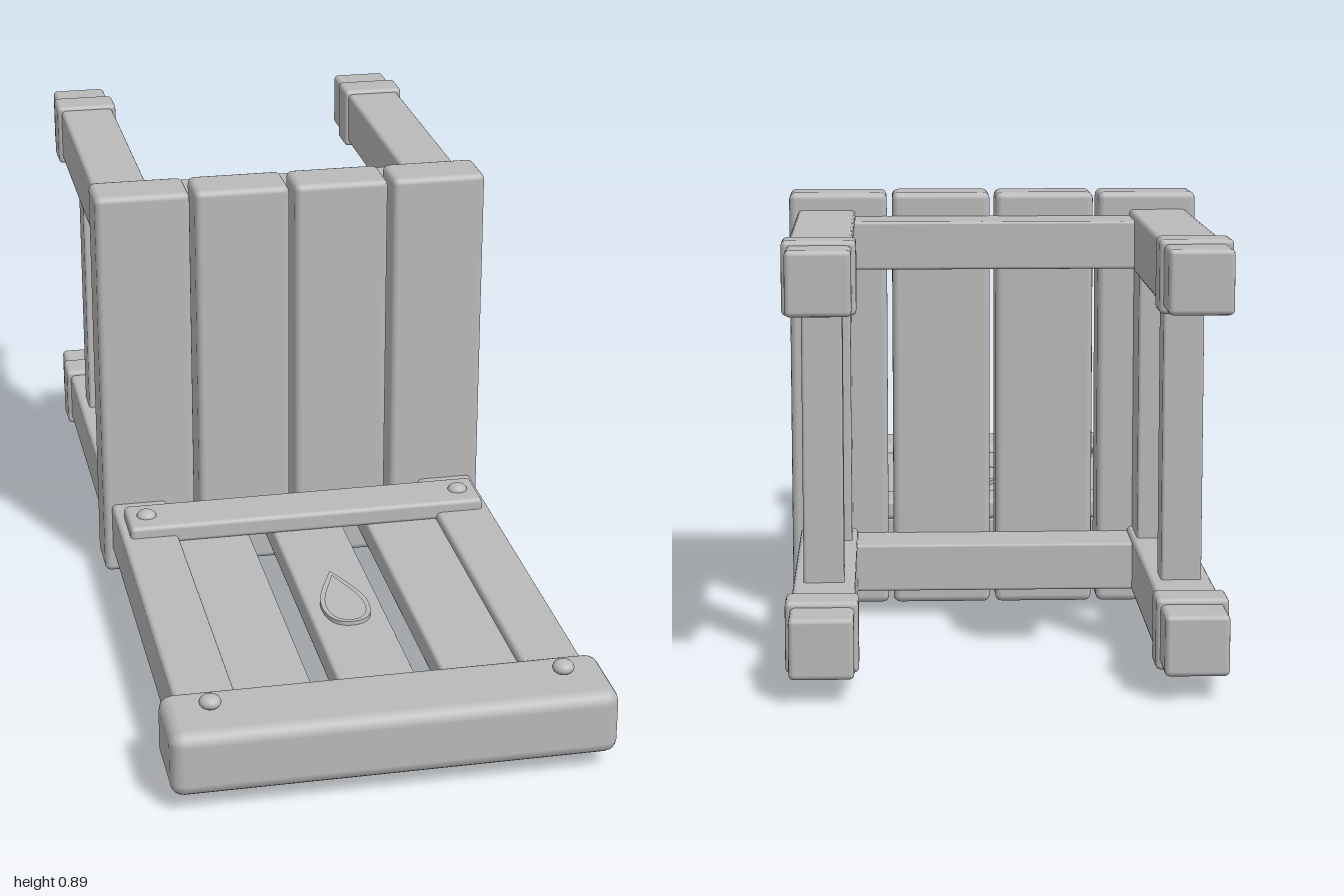
import * as THREE from 'three';
import { RoundedBoxGeometry } from 'three/addons/geometries/RoundedBoxGeometry.js';

export function createModel() {
  const chair = new THREE.Group();
  chair.name = 'chairLyingOnItsBack';
  const grey = new THREE.MeshStandardMaterial({ color: 0xbababa });
  grey.name = 'plain grey';

  const add = (name, geometry) => {
    const mesh = new THREE.Mesh(geometry, grey);
    mesh.name = name;
    chair.add(mesh);
    return mesh;
  };
  // Softly bevelled board given by its extents along x, y and z
  const board = (name, [x0, x1], [y0, y1], [z0, z1], bevel = 0.01) =>
    add(name, new RoundedBoxGeometry(x1 - x0, y1 - y0, z1 - z0, 2, bevel))
      .position.set((x0 + x1) / 2, (y0 + y1) / 2, (z0 + z1) / 2);
  // Same, placed on one side of the chair
  const sideBoard = (name, s, x, y, z, bevel) =>
    board(name, s > 0 ? x : [-x[1], -x[0]], y, z, bevel);

  // Seat planks, standing upright
  for (const x of [[-0.432, -0.225], [-0.214, -0.006], [0.006, 0.214], [0.225, 0.432]])
    board('seatPlank', x, [0.004, 0.895], [-0.175, -0.057], 0.014);

  for (const s of [-1, 1]) {
    // Back posts run on into the rear legs; front legs stop at the seat
    sideBoard('backPost', s, [0.291, 0.414], [0.052, 0.17], [-1, 0.9]);
    sideBoard('frontLeg', s, [0.291, 0.414], [0.735, 0.858], [-1, -0.165]);
    // Feet bands
    sideBoard('rearFootBand', s, [0.283, 0.423], [0.041, 0.181], [-0.907, -0.823]);
    sideBoard('frontFootBand', s, [0.283, 0.423], [0.726, 0.867], [-0.907, -0.823]);
    // Side apron and stretcher
    sideBoard('sideApron', s, [0.302, 0.402], [0.16, 0.745], [-0.3, -0.165], 0.006);
    sideBoard('sideStretcher', s, [0.313, 0.393], [0.16, 0.745], [-0.696, -0.616], 0.006);
  }

  // Front and rear aprons under the seat
  board('frontApron', [-0.3, 0.3], [0.745, 0.845], [-0.303, -0.165], 0.006);
  board('rearApron', [-0.3, 0.3], [0.06, 0.16], [-0.303, -0.165], 0.006);

  // Backrest: crest rail, lower rail and slats
  board('crestRail', [-0.445, 0.445], [0.04, 0.177], [0.816, 1], 0.027);
  board('lowerBackRail', [-0.396, 0.396], [0.152, 0.195], [0.003, 0.124], 0.01);
  for (const x of [[-0.293, -0.132], [-0.079, 0.079], [0.132, 0.293]])
    board('backSlat', x, [0.1, 0.155], [0.01, 0.86], 0.008);

  // Domed pegs
  for (const x of [-0.353, 0.353])
    for (const [y, z] of [[0.194, 0.063], [0.194, 0.903]]) {
      const peg = add('peg', new THREE.SphereGeometry(0.022, 20, 12));
      peg.scale.y = 0.68;
      peg.position.set(x, y, z);
    }

  // Raised drop outline on the middle slat
  const drop = (C, w, tip, end) => {
    const c = new C();
    const mid = end - w * 1.6;
    c.moveTo(0, -tip);
    c.bezierCurveTo(w * 0.3, -tip - 0.04, w, -mid + 0.05, w, -mid);
    c.bezierCurveTo(w, -end + 0.02, w * 0.6, -end, 0, -end);
    c.bezierCurveTo(-w * 0.6, -end, -w, -end + 0.02, -w, -mid);
    c.bezierCurveTo(-w, -mid + 0.05, -w * 0.3, -tip - 0.04, 0, -tip);
    return c;
  };
  const outline = drop(THREE.Shape, 0.05, 0.345, 0.58);
  outline.holes.push(drop(THREE.Path, 0.04, 0.368, 0.57));
  const ring = add('dropOutline', new THREE.ExtrudeGeometry(outline,
    { depth: 0.012, bevelEnabled: false, curveSegments: 12 }));
  ring.rotation.x = -Math.PI / 2;
  ring.position.y = 0.152;

  return chair;
}
